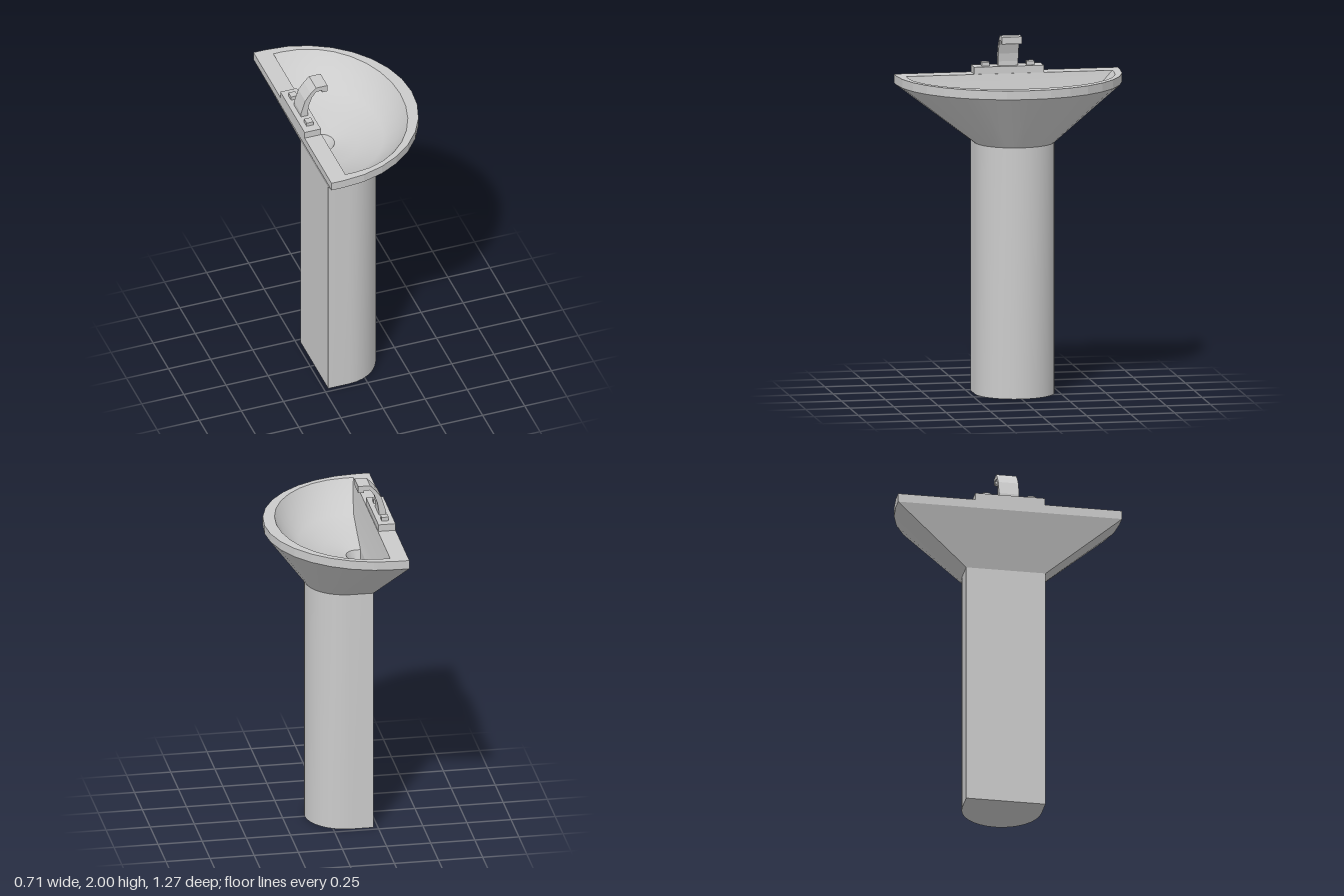
import * as THREE from 'three';
import { toCreasedNormals } from 'three/addons/utils/BufferGeometryUtils.js';

const material = new THREE.MeshStandardMaterial({ color: 0xcccccc });

// D-shaped section: flat at x = back, half ellipse bulging towards +x
function section(y, back, cx, rx, rz, n = 16) {
  const points = [new THREE.Vector3(back, y, -rz)];
  for (let i = 0; i <= n; i++) {
    const a = -Math.PI / 2 + (Math.PI * i) / n;
    points.push(new THREE.Vector3(cx + rx * Math.cos(a), y, rz * Math.sin(a)));
  }
  points.push(new THREE.Vector3(back, y, rz));
  return points;
}

// Skin a row of sections; optionally close the first or last one
function loft(rings, crease, { capFirst = false, capLast = false } = {}) {
  const pos = [];
  const tri = (...corners) => corners.forEach((p) => pos.push(p.x, p.y, p.z));
  const n = rings[0].length;
  for (let r = 0; r < rings.length - 1; r++) {
    for (let j = 0; j < n; j++) {
      const k = (j + 1) % n;
      const [a, b, c, d] = [rings[r][j], rings[r][k], rings[r + 1][j], rings[r + 1][k]];
      tri(a, c, b);
      tri(b, c, d);
    }
  }
  const last = rings[rings.length - 1];
  for (let j = 1; j < n - 1; j++) {
    if (capFirst) tri(rings[0][0], rings[0][j], rings[0][j + 1]);
    if (capLast) tri(last[0], last[j + 1], last[j]);
  }
  const geometry = new THREE.BufferGeometry();
  geometry.setAttribute('position', new THREE.Float32BufferAttribute(pos, 3));
  return toCreasedNormals(geometry, crease);
}

export function createModel() {
  const group = new THREE.Group();
  const add = (name, geometry, x = 0, y = 0, z = 0) => {
    const mesh = new THREE.Mesh(geometry, material);
    mesh.name = name;
    mesh.position.set(x, y, z);
    group.add(mesh);
  };

  const foot = section(0, -0.225, -0.1, 0.225, 0.225);
  const neck = section(1.42, -0.225, -0.1, 0.225, 0.225);
  const rimBottom = section(1.73, -0.355, -0.282, 0.635, 0.635);
  const rimTop = section(1.78, -0.355, -0.282, 0.635, 0.635);
  const rimInner = section(1.78, -0.255, -0.2, 0.485, 0.585);

  // Column, flared underside and faceted rim
  add('pedestal', loft([foot, neck], 0.35, { capFirst: true }));
  add('basinUnderside', loft([neck, rimBottom], 0.35));
  add('rimBand', loft([rimBottom, rimTop], 0.1));
  add('rimTop', loft([rimTop, rimInner], 0.35));

  // Bowl sloping down to the drain
  const drainTop = section(1.56, -0.205, -0.18, 0.07, 0.075);
  add('bowl', loft([
    rimInner,
    section(1.70, -0.24, -0.19, 0.425, 0.51),
    section(1.635, -0.225, -0.185, 0.34, 0.41),
    section(1.59, -0.215, -0.18, 0.2, 0.24),
    drainTop,
  ], 1.0));
  add('drain', loft([drainTop, section(1.49, -0.2, -0.18, 0.03, 0.05)], 0.5, { capLast: true }));

  // Tap plate and its two handles
  add('tapPlate', new THREE.BoxGeometry(0.097, 0.04, 0.395), -0.3065, 1.8, 0);
  for (const side of [-1, 1]) {
    add(side > 0 ? 'leftHandle' : 'rightHandle',
      new THREE.BoxGeometry(0.04, 0.022, 0.043), -0.305, 1.831, side * 0.127);
  }

  // Bent spout, a side profile extruded across z
  const profile = [
    [-0.325, 1.82], [-0.285, 1.82], [-0.285, 1.845], [-0.278, 1.89], [-0.26, 1.94],
    [-0.236, 1.973], [-0.2, 1.973], [-0.2, 1.96], [-0.168, 1.96], [-0.168, 2],
    [-0.236, 2], [-0.268, 1.968], [-0.3, 1.925], [-0.325, 1.845],
  ].map(([x, y]) => new THREE.Vector2(x, y));
  add('spout', new THREE.ExtrudeGeometry(new THREE.Shape(profile),
    { depth: 0.114, bevelEnabled: false }), 0, 0, -0.057);

  return group;
}
